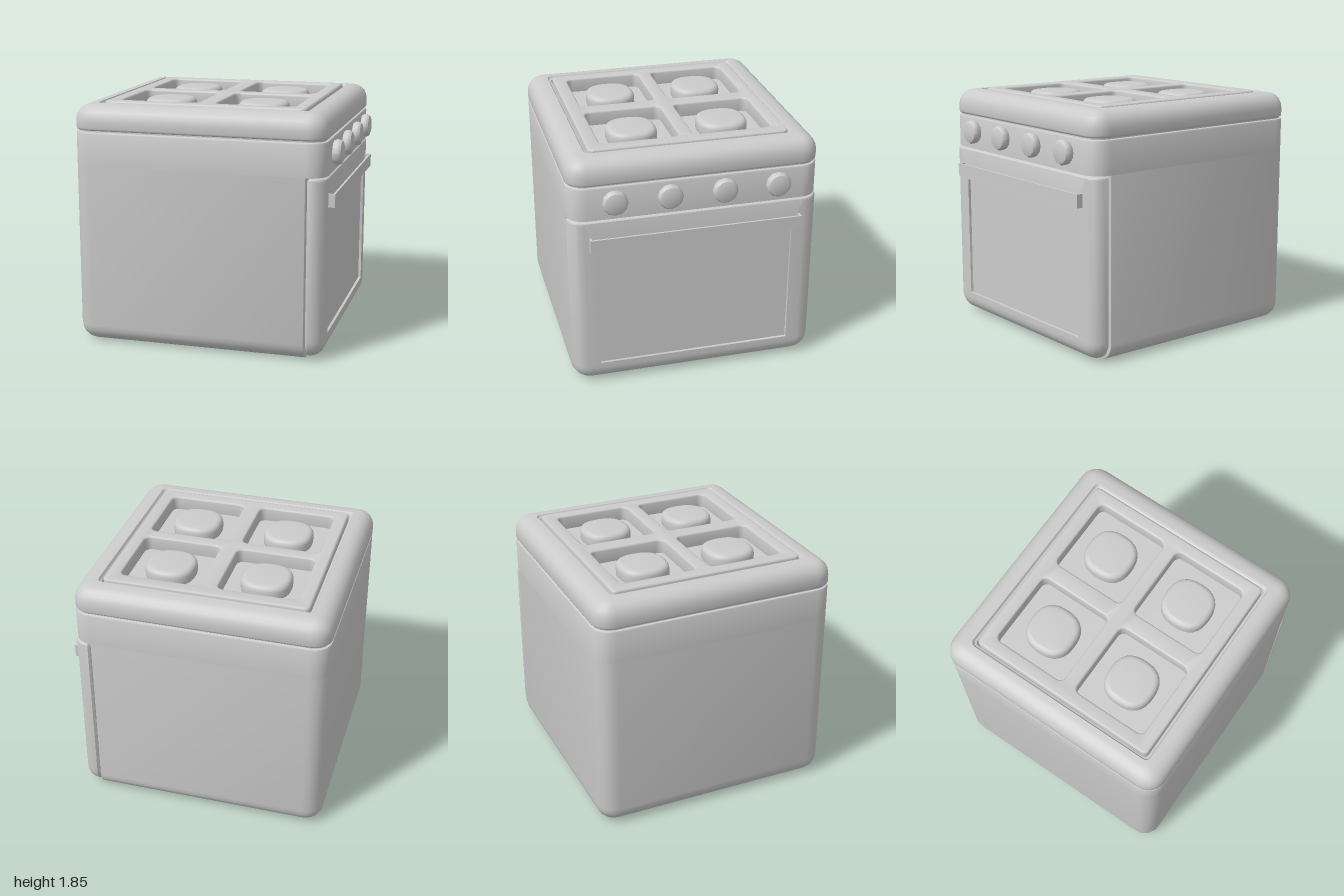
import * as THREE from 'three';
import { toCreasedNormals } from 'three/addons/utils/BufferGeometryUtils.js';

const D = 0.945; // half depth of the body
const R = 0.14; // corner radius of the body
const material = new THREE.MeshStandardMaterial({ color: 0xcccccc });

function add(parent, name, geometry, x = 0, y = 0, z = 0) {
  const mesh = new THREE.Mesh(toCreasedNormals(geometry, 0.6), material);
  mesh.name = name;
  mesh.position.set(x, y, z);
  parent.add(mesh);
  return mesh;
}

// One horizontal rounded rectangle; r0 rounds the -x corners, r1 the +x corners
function ring(y, x0, x1, hz, r0, r1 = r0, steps = 5) {
  const points = [];
  const corners = [[x1 - r1, hz - r1, r1], [x0 + r0, hz - r0, r0], [x0 + r0, r0 - hz, r0], [x1 - r1, r1 - hz, r1]];
  corners.forEach(([cx, cz, r], q) => {
    for (let i = 0; i <= steps; i++) {
      const a = (q + i / steps) * Math.PI / 2;
      points.push([cx + r * Math.cos(a), y, cz + r * Math.sin(a)]);
    }
  });
  return points;
}

// Closed skin through a stack of rings, capped at both ends
function loft(rings) {
  const pos = [], index = [], n = rings[0].length;
  rings.forEach(r => r.forEach(p => pos.push(...p)));
  for (let k = 0; k < rings.length - 1; k++) {
    for (let i = 0; i < n; i++) {
      const a = k * n + i, b = k * n + (i + 1) % n;
      index.push(a, a + n, b, b, a + n, b + n);
    }
  }
  const top = (rings.length - 1) * n;
  for (let i = 1; i < n - 1; i++) {
    index.push(0, i, i + 1);
    index.push(top, top + i + 1, top + i);
  }
  const g = new THREE.BufferGeometry();
  g.setAttribute('position', new THREE.Float32BufferAttribute(pos, 3));
  g.setIndex(index);
  return g;
}

// Quarter-round steps: calls make(inset, rise) from the wide end to the narrow end
function rounding(radius, make, steps = 5) {
  return Array.from({ length: steps + 1 }, (_, i) => {
    const a = i / steps * Math.PI / 2;
    return make(radius * (1 - Math.cos(a)), radius * Math.sin(a));
  });
}

function roundedRect(path, x0, x1, y0, y1, r) {
  path.moveTo(x0 + r, y0);
  path.lineTo(x1 - r, y0);
  path.absarc(x1 - r, y0 + r, r, -Math.PI / 2, 0);
  path.absarc(x1 - r, y1 - r, r, 0, Math.PI / 2);
  path.absarc(x0 + r, y1 - r, r, Math.PI / 2, Math.PI);
  path.absarc(x0 + r, y0 + r, r, Math.PI, Math.PI * 1.5);
  return path;
}

// Upright slab with a softened top, shape drawn in x and -z
function slab(shape, height, bevel, segments) {
  const g = new THREE.ExtrudeGeometry(shape, {
    depth: height - 2 * bevel, bevelThickness: bevel, bevelSize: bevel,
    bevelOffset: -bevel, bevelSegments: segments, curveSegments: 5,
  });
  return g.translate(0, 0, bevel).rotateX(-Math.PI / 2);
}

export function createModel() {
  const model = new THREE.Group();
  model.name = 'stove';

  // Cabinet: lower part stops short for the door, upper part carries the knobs
  add(model, 'cabinet', loft([
    ...rounding(0.13, (t, h) => ring(0.13 - h, -1 + t, 0.79, D - t, R - t, 0.006)).reverse(),
    ring(1.385, -1, 0.79, D, R, 0.006),
  ]));
  add(model, 'controlPanel', loft([
    ring(1.385, -1, 0.93, D, R),
    ...rounding(0.015, (t, h) => ring(1.625 + h, -1 + t, 0.93 - t, D - t, R - t), 2),
  ]));
  add(model, 'lidGap', loft([1.62, 1.67].map(y => ring(y, -0.98, 0.91, D - 0.02, R - 0.02))));

  // Lid with a rounded rim and a groove around the hob plate
  add(model, 'lid', loft([
    ...rounding(0.018, (t, h) => ring(1.668 - h, -1 + t, 0.93 - t, D - t, R - t), 3).reverse(),
    ...rounding(0.12, (t, h) => ring(1.72 + h, -1 + t, 0.93 - t, D - t, R - t)),
    ring(1.842, -0.845, 0.77, 0.785, 0.04),
    ring(1.825, -0.835, 0.76, 0.775, 0.035),
    ring(1.82, -0.82, 0.75, 0.76, 0.03),
    ring(1.74, -0.8, 0.73, 0.74, 0.02),
  ]));

  // Hob plate with four wells, a burner in each
  const columns = [-0.405, 0.335], rows = [-0.355, 0.348];
  const plate = roundedRect(new THREE.Shape(), -0.81, 0.74, -0.75, 0.755, 0.04);
  const disc = new THREE.Shape(Array.from({ length: 32 }, (_, i) => {
    const a = i / 32 * Math.PI * 2, c = Math.cos(a), s = Math.sin(a);
    const r = 0.19 / Math.pow(Math.abs(c) ** 2.5 + Math.abs(s) ** 2.5, 0.4);
    return new THREE.Vector2(r * c, r * s);
  }));
  for (const x of columns) {
    for (const z of rows) {
      plate.holes.push(roundedRect(new THREE.Path(), x - 0.302, x + 0.302, -z - 0.298, -z + 0.298, 0.05));
      add(model, 'burner', slab(disc, 0.13, 0.04, 4), x, 1.71, z);
    }
  }
  add(model, 'hobPlate', slab(plate, 0.13, 0.015, 3), 0, 1.72, 0);

  // Door: rings stacked outward along +x, ending in the sunken window
  const door = add(model, 'ovenDoor', loft([
    ring(0.8, -1.365, -0.03, D - 0.015, 0.02, 0.125),
    ring(0.815, -1.38, -0.015, D, 0.02, R),
    ...rounding(0.11, (t, h) => ring(0.82 + h, -1.38 + t * 0.15, -0.015 - t, D - t, 0.02, R - t)),
    ring(0.93, -1.12, -0.17, 0.74, 0.004),
    ring(0.91, -1.119, -0.171, 0.739, 0.004),
  ]));
  door.rotation.z = -Math.PI / 2;

  // Handle: thin bar on two end posts
  const handle = new THREE.Group();
  handle.name = 'doorHandle';
  model.add(handle);
  add(handle, 'handleBar', new THREE.BoxGeometry(0.016, 0.1, 1.6), 0.972, 1.2, 0);
  for (const s of [-1, 1]) {
    add(handle, 'handlePost', new THREE.BoxGeometry(0.05, 0.1, 0.016), 0.945, 1.2, s * 0.792);
  }

  // Knobs
  const knobProfile = [[0.085, 0], [0.094, 0.02], [0.094, 0.045], [0.082, 0.062], [0.06, 0.07], [0, 0.07]]
    .map(p => new THREE.Vector2(...p));
  for (const z of [-0.61, -0.205, 0.205, 0.61]) {
    const knob = add(model, 'knob', new THREE.LatheGeometry(knobProfile, 12), 0.93, 1.525, z);
    knob.rotation.z = -Math.PI / 2;
  }
  return model;
}
